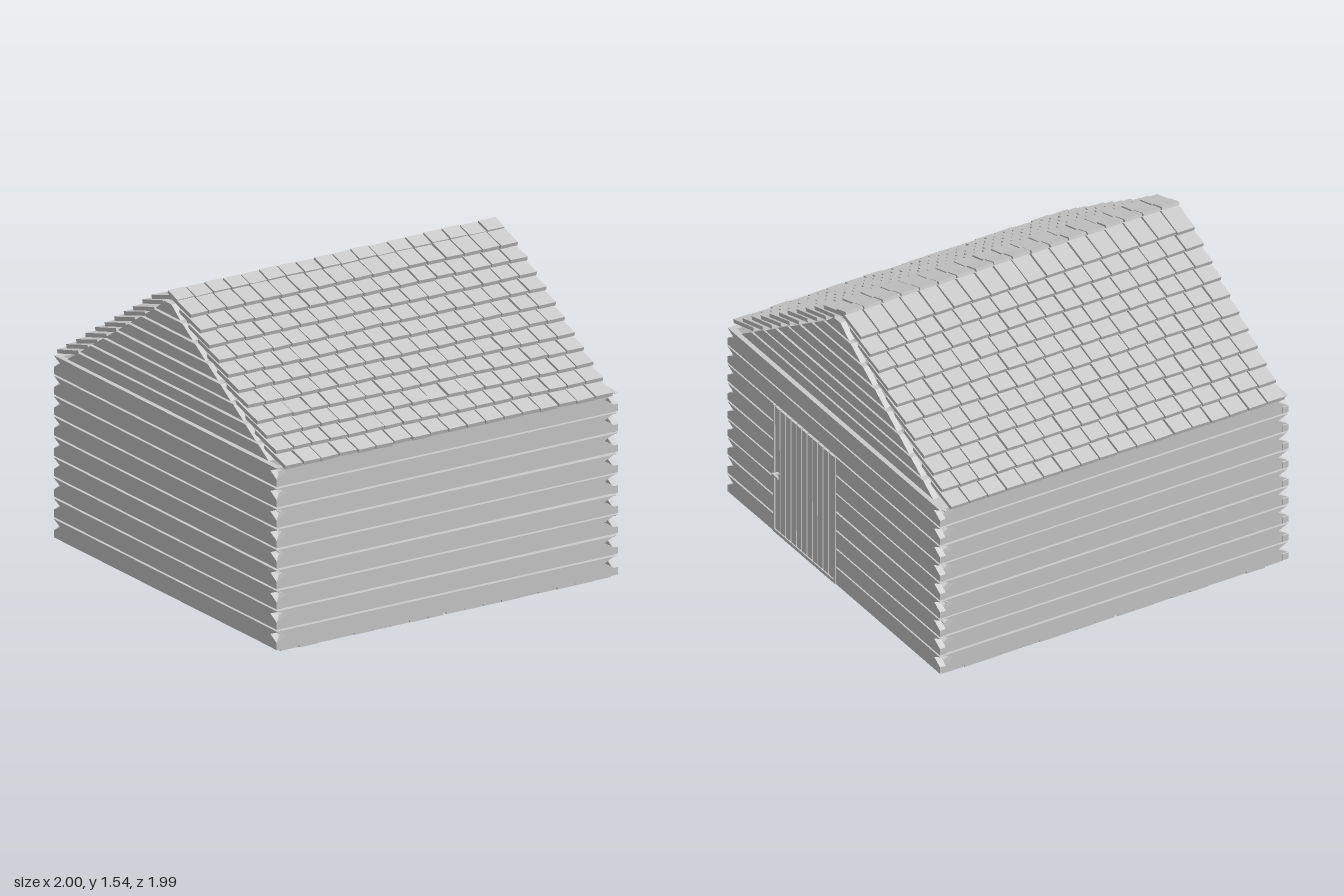
import * as THREE from 'three';
import { mergeGeometries } from 'three/addons/utils/BufferGeometryUtils.js';

const grey = new THREE.MeshStandardMaterial({ color: 0xcccccc, flatShading: true });

// small seeded wobble in -1..1 for the hand-laid look
let seed = 7;
const wobble = () => {
  seed = (seed * 16807) % 2147483647;
  return (seed / 2147483647) * 2 - 1;
};

const part = (name, geometries) => {
  const mesh = new THREE.Mesh(mergeGeometries(geometries), grey);
  mesh.name = name;
  return mesh;
};

const box = (x0, x1, y0, y1, z0, z1) =>
  new THREE.BoxGeometry(x1 - x0, y1 - y0, z1 - z0)
    .translate((x0 + x1) / 2, (y0 + y1) / 2, (z0 + z1) / 2);

// Board outline extruded to a thickness; points are [along, up]
const board = (points, thickness) =>
  new THREE.ExtrudeGeometry(
    new THREE.Shape(points.map(([a, b]) => new THREE.Vector2(a, b))),
    { depth: thickness, bevelEnabled: false });

// Turns a board that runs along x into one that runs along z, outer face at x
const alongZ = (geometry, x) => geometry.rotateY(-Math.PI / 2).translate(x, 0, 0);

const COURSES = 9, PITCH = 0.104, HEIGHT = 0.094, THICK = 0.032;

// Wall plank from a to b, with a V notch in each end that asks for one
function plank(a, b, y, notchA = true, notchB = true) {
  const sag = wobble() * 0.002, top = y + HEIGHT, low = y + 0.036, mid = y + 0.068, cut = 0.055;
  const points = [[a, y], [b, y + sag]];
  if (notchB) points.push([b, low], [b - cut, mid]);
  points.push([b, top + sag], [a, top]);
  if (notchA) points.push([a + cut, mid], [a, low]);
  return board(points, THICK);
}

const DOOR = { z0: -0.02, z1: 0.545, top: 0.73 };

function createWalls() {
  const walls = new THREE.Group();
  walls.name = 'walls';
  const front = [], back = [], left = [], right = [];
  for (let i = 0; i < COURSES; i++) {
    const y = 0.01 + i * PITCH;
    front.push(plank(-1, 0.94, y).translate(0, 0, 0.965 - THICK));
    back.push(plank(-1, 0.94, y).translate(0, 0, -0.965));
    left.push(alongZ(plank(-0.968, 0.965, y), -1 + THICK));
    if (y + 0.02 < DOOR.top) {
      // planks broken by the doorway
      right.push(alongZ(plank(-0.968, DOOR.z0, y, true, false), 0.965));
      right.push(alongZ(plank(DOOR.z1, 0.965, y, false, true), 0.965));
    } else {
      right.push(alongZ(plank(-0.968, 0.965, y), 0.965));
    }
  }
  walls.add(part('frontWall', front), part('backWall', back),
    part('leftWall', left), part('rightWall', right));
  return walls;
}

// Horizontal boards that narrow with the roof slope
function createGable(name, x) {
  const boards = [];
  const halfWidth = y => Math.max(0.03, (1.5 - y) / 0.64);
  for (let i = 0; i < 8; i++) {
    const y = 0.942 + i * 0.07, top = y + 0.058;
    const w0 = halfWidth(y), w1 = halfWidth(top), s = wobble() * 0.002;
    boards.push(alongZ(board([[-w0, y], [w0, y + s], [w1, top + s], [-w1, top]], 0.03), x));
  }
  return part(name, boards);
}

const COLUMNS = 18, COL_PITCH = 0.105, ROOF_LEFT = -0.97;

// One row of tiles; side is +1 for the front slope and -1 for the back
function tileRow(side, z, y, length, tilt, thickness = 0.02) {
  const tiles = [];
  for (let c = 0; c < COLUMNS; c++) {
    const tile = new THREE.BoxGeometry(0.097, thickness, length);
    tile.rotateY(wobble() * 0.008);
    tile.rotateZ(wobble() * 0.025);
    tile.rotateX(side * (tilt + wobble() * 0.015));
    tile.translate(ROOF_LEFT + (c + 0.5) * COL_PITCH, y + wobble() * 0.002, side * z + wobble() * 0.003);
    tiles.push(tile);
  }
  return tiles;
}

function createRoof() {
  const roof = new THREE.Group();
  roof.name = 'roof';
  const rows = 11, length = 0.19, tilt = 0.27;
  for (const side of [1, -1]) {
    const tiles = [];
    for (let r = 0; r < rows; r++) {
      const edgeZ = 0.988 - r * 0.082, edgeY = 0.942 + r * 0.0525;
      tiles.push(...tileRow(side, edgeZ - length / 2 * Math.cos(tilt),
        edgeY + length / 2 * Math.sin(tilt), length, tilt));
    }
    roof.add(part(side > 0 ? 'frontTiles' : 'backTiles', tiles));
  }
  // short capping tiles leaning over the ridge
  roof.add(part('ridgeTiles', tileRow(1, 0.01, 1.521, 0.085, 0.3, 0.016)));
  return roof;
}

function createDoor() {
  const door = new THREE.Group();
  door.name = 'door';
  const { z0, z1, top } = DOOR, slats = [], count = 11;
  const pitch = (z1 - z0 - 0.03) / count;
  for (let i = 0; i < count; i++) {
    const z = z0 + 0.015 + i * pitch;
    const slat = box(0.945, 0.968, 0.035, top - 0.006, z + 0.004, z + pitch - 0.004);
    const cy = top / 2, cz = z + pitch / 2;
    slats.push(slat.translate(0, -cy, -cz).rotateX(wobble() * 0.006).translate(0, cy, cz));
  }
  door.add(part('doorSlats', slats));
  door.add(part('doorBacking', [box(0.93, 0.945, 0.03, top, z0, z1)]));
  door.add(part('doorFrame', [
    box(0.935, 0.97, 0.012, 0.03, z0, z1),
    box(0.935, 0.97, 0.03, top, z0, z0 + 0.012),
    box(0.935, 0.97, 0.03, top, z1 - 0.012, z1),
  ]));
  // bar handle on a short stem
  door.add(part('doorHandle', [
    box(0.965, 0.99, 0.355, 0.367, 0.49, 0.505),
    box(0.988, 1.0, 0.355, 0.367, 0.46, 0.51),
  ]));
  return door;
}

// Floor planks run front to back, with a wider gap near the middle
function createFloor() {
  const planks = [];
  for (let i = 0; i < COLUMNS; i++) {
    const x = -0.975 + i * 0.106;
    const gap = i === 8 ? 0.018 : 0.004;
    const end = 0.962 + wobble() * 0.004;
    planks.push(box(x, x + 0.106 - gap, 0, 0.02, -end, end));
  }
  return part('floor', planks);
}

export function createModel() {
  seed = 7;
  const cabin = new THREE.Group();
  cabin.name = 'cabin';
  cabin.add(createFloor(), createWalls(), createDoor(),
    createGable('leftGable', -0.955), createGable('rightGable', 0.945), createRoof());
  return cabin;
}
